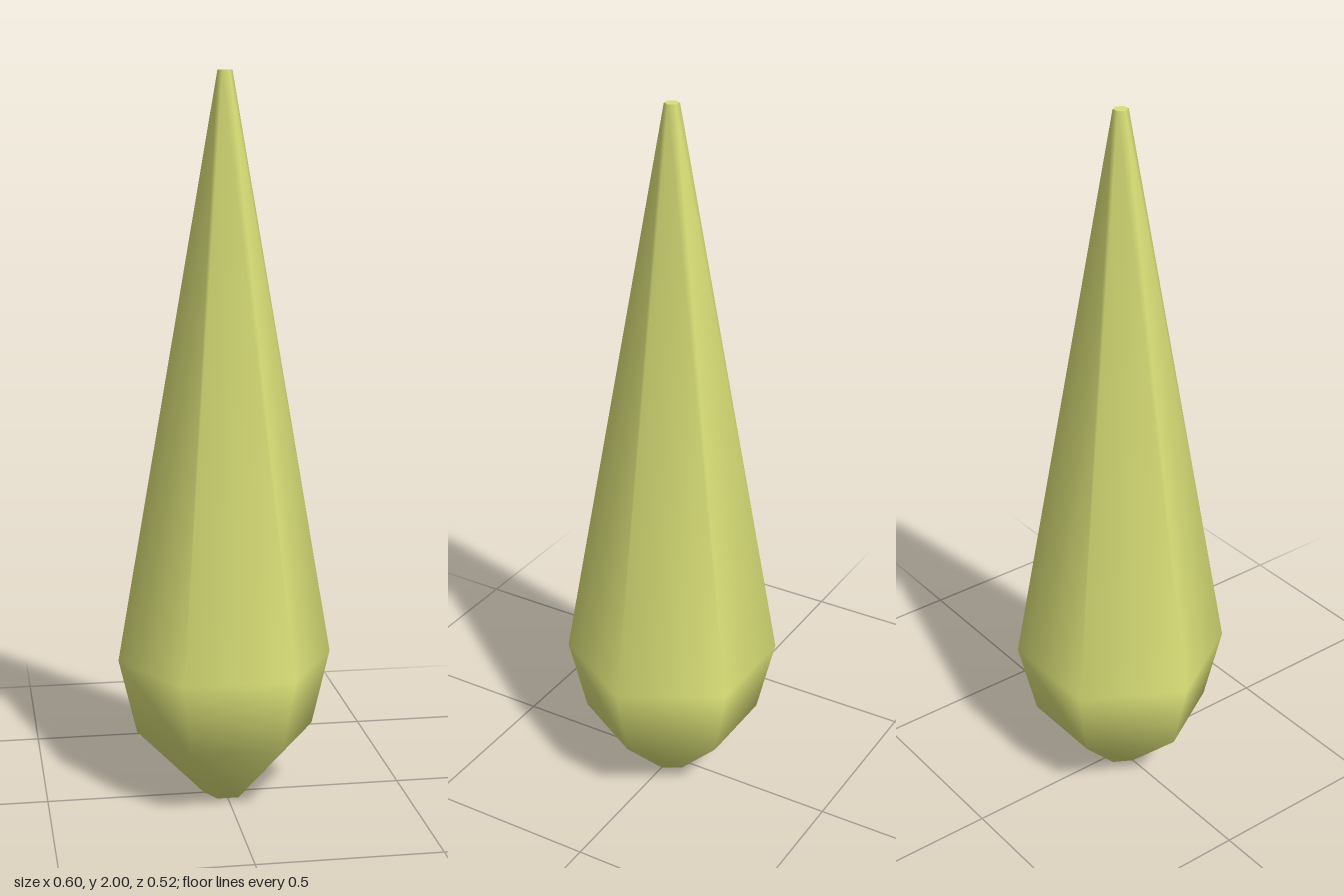
import * as THREE from 'three';

const SIDES = 6;

export function createModel() {
  const group = new THREE.Group();
  group.name = 'crystalSpike';
  const material = new THREE.MeshStandardMaterial({ color: 0xd9df77 });

  const add = (name, geometry, y = 0) => {
    const mesh = new THREE.Mesh(geometry, material);
    mesh.name = name;
    mesh.position.y = y;
    group.add(mesh);
  };

  // Six-sided tapering body, smooth shaded, with corners on the x axis
  const profile = [[0.06, 0], [0.248, 0.19], [0.298, 0.4], [0.02, 2]]
    .map(([r, y]) => new THREE.Vector2(r, y));
  add('body', new THREE.LatheGeometry(profile, SIDES, Math.PI / 2));

  // Flat caps at the tip and the base
  add('tipCap', new THREE.CircleGeometry(0.02, SIDES).rotateX(-Math.PI / 2), 2);
  add('baseCap', new THREE.CircleGeometry(0.06, SIDES).rotateX(Math.PI / 2));

  return group;
}
